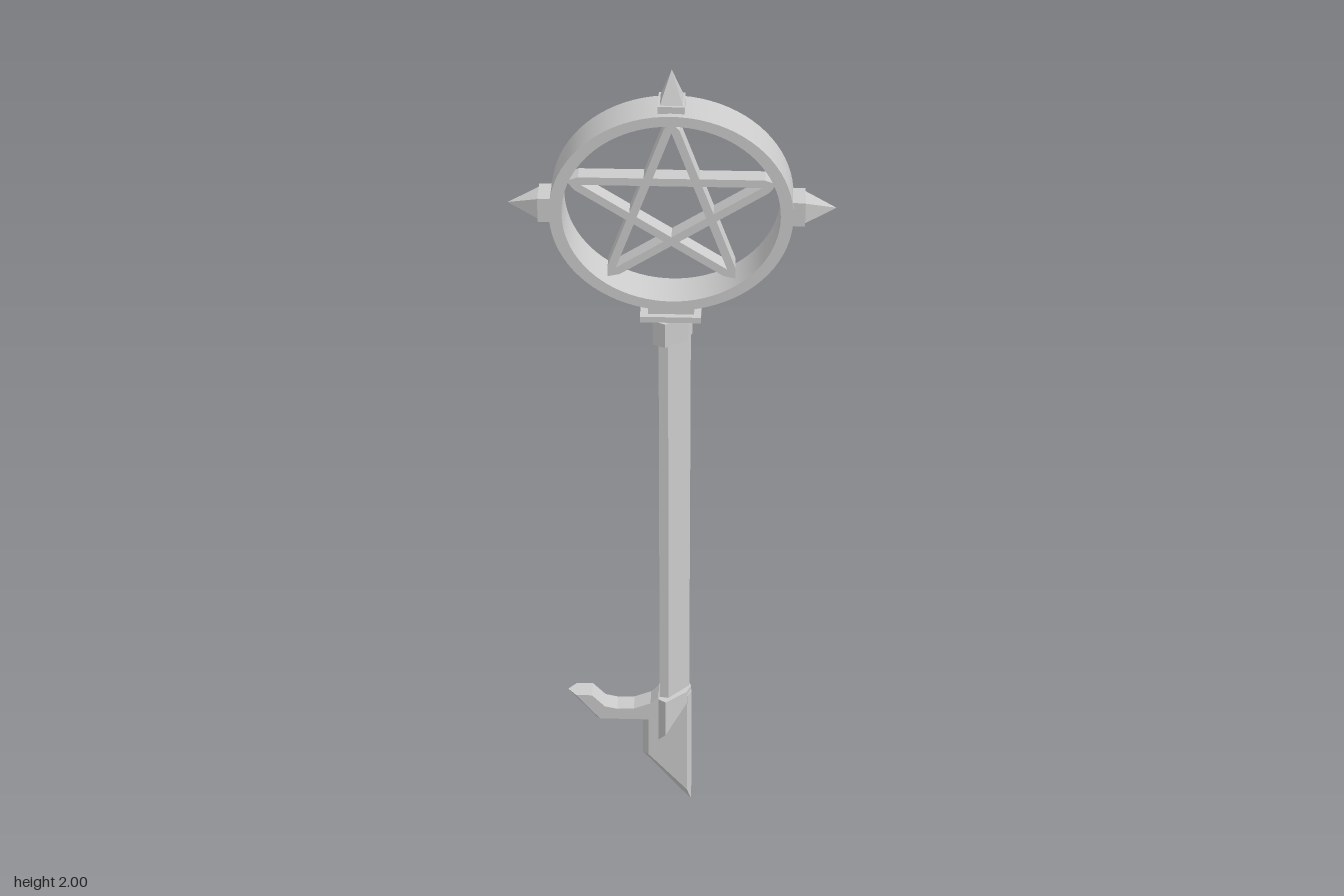
import * as THREE from 'three';
import { toCreasedNormals } from 'three/addons/utils/BufferGeometryUtils.js';

const mat = new THREE.MeshStandardMaterial({ color: 0xcccccc });

function add(parent, name, geo, x = 0, y = 0, z = 0) {
  const m = new THREE.Mesh(geo, mat);
  m.name = name;
  m.position.set(x, y, z);
  parent.add(m);
  return m;
}

// Solid lofted through rings of equal point count (counter-clockwise seen from
// the last ring), capped at both ends, flat shaded.
function loft(rings) {
  const pos = [];
  const n = rings[0].length;
  const tri = (...p) => p.forEach((v) => pos.push(...v));
  for (let r = 0; r < rings.length - 1; r++) {
    for (let i = 0; i < n; i++) {
      const j = (i + 1) % n;
      const [a, b, c, d] = [rings[r][i], rings[r][j], rings[r + 1][j], rings[r + 1][i]];
      tri(a, b, c);
      tri(a, c, d);
    }
  }
  return { pos, tri, geo() {
    const g = new THREE.BufferGeometry();
    g.setAttribute('position', new THREE.Float32BufferAttribute(pos, 3));
    g.computeVertexNormals();
    return g;
  } };
}

// Upright prism from half a section [x, z], ridge first; bottom height depends on x
function prism(half, top, bottom) {
  const sec = [...half, ...half.slice(1).reverse().map(([x, z]) => [x, -z])].reverse();
  const low = sec.map(([x, z]) => [x, bottom(x), z]);
  const high = sec.map(([x, z]) => [x, top, z]);
  const s = loft([low, high]);
  for (let i = 1; i < sec.length - 1; i++) {
    s.tri(high[0], high[i], high[i + 1]);
    s.tri(low[0], low[i + 1], low[i]);
  }
  return s.geo();
}

// Blade: full outline on the middle plane, inset outline on both faces
function bevelled(points, halfZ) {
  const ring = (k, z) => points.map((p) => [p[k], p[k + 1], z]);
  const back = ring(2, -halfZ), front = ring(2, halfZ);
  const s = loft([back, ring(0, 0), front]);
  const flat = front.map((p) => new THREE.Vector2(p[0], p[1]));
  for (const [a, b, c] of THREE.ShapeUtils.triangulateShape(flat, [])) {
    s.tri(front[a], front[b], front[c]);
    s.tri(back[a], back[c], back[b]);
  }
  return s.geo();
}

function extrude(shape, depth, curveSegments = 16) {
  const g = new THREE.ExtrudeGeometry(shape, { depth, bevelEnabled: false, curveSegments });
  return g.translate(0, 0, -depth / 2);
}

export function createModel() {
  const model = new THREE.Group();
  model.name = 'staff';
  const cy = 1.68;

  // Oval ring
  const oval = new THREE.Shape().absellipse(0, 0, 0.259, 0.235, 0, Math.PI * 2);
  oval.holes.push(new THREE.Path().absellipse(0, 0, 0.232, 0.212, 0, Math.PI * 2));
  add(model, 'ring', toCreasedNormals(extrude(oval, 0.096, 40), 0.6), 0, cy, -0.002);

  // Five-pointed star of straight bars with pointed ends
  const star = new THREE.Group();
  star.name = 'star';
  model.add(star);
  const tip = (i) => {
    const a = Math.PI / 2 + (i * Math.PI * 2) / 5;
    return [0.234 * Math.cos(a), cy + 0.208 * Math.sin(a)];
  };
  for (let i = 0; i < 5; i++) {
    const [x0, y0] = tip(i), [x1, y1] = tip(i + 2);
    const h = Math.hypot(x1 - x0, y1 - y0) / 2, w = 0.009;
    const bar = new THREE.Shape([[-h, 0], [-h + 0.025, -w], [h - 0.025, -w], [h, 0], [h - 0.025, w], [-h + 0.025, w]]
      .map((p) => new THREE.Vector2(...p)));
    const m = add(star, 'starBar', extrude(bar, 0.04), (x0 + x1) / 2, (y0 + y1) / 2, -0.002);
    m.rotation.z = Math.atan2(y1 - y0, x1 - x0);
  }

  // Spikes on the top and both sides of the ring
  const spikes = [[0, 1.9, 0, 0.03], [-0.25, cy, Math.PI / 2, 0.034], [0.25, cy, -Math.PI / 2, 0.034]];
  for (const [x, y, turn, base] of spikes) {
    const spike = new THREE.Group();
    spike.name = 'spike';
    spike.position.set(x, y, -0.001);
    spike.rotation.z = turn;
    add(spike, 'spikeBase', new THREE.BoxGeometry(0.056, base, 0.066), 0, base / 2, 0);
    const point = new THREE.ConeGeometry(0.025 * Math.SQRT2, 0.1 - base, 4, 1).toNonIndexed();
    point.rotateY(Math.PI / 4).scale(0.95, 1, 1.08).computeVertexNormals();
    add(spike, 'spikePoint', point, 0, base + (0.1 - base) / 2, 0);
    model.add(spike);
  }

  // Seat and plate under the ring
  add(model, 'ringSeat', new THREE.BoxGeometry(0.1, 0.028, 0.09), 0, 1.445, -0.002);
  add(model, 'plate', new THREE.BoxGeometry(0.132, 0.014, 0.116), -0.001, 1.427, -0.002);

  // Shaft with its ridge on +x, upper collar and slanted lower socket
  add(model, 'shaft', prism([[0.042, 0], [-0.006, 0.049], [-0.027, 0.046]], 1.42, () => 0.3));
  add(model, 'collar', prism([[0.046, 0], [0.036, 0.028], [-0.012, 0.064], [-0.04, 0.05]], 1.42, () => 1.36));
  add(model, 'socket', prism([[0.046, 0], [0.036, 0.026], [-0.012, 0.067], [-0.03, 0.055]], 0.365,
    (x) => 0.24 + (x + 0.03) * 1.35));

  // Blade and hook: [outer x, outer y, face x, face y]
  const blade = bevelled([
    [0.048, 0.005, 0.038, 0.055],
    [0.048, 0.35, 0.038, 0.35],
    [-0.02, 0.357, -0.02, 0.357],
    [-0.05, 0.325, -0.05, 0.325],
    [-0.09, 0.308, -0.09, 0.308],
    [-0.13, 0.306, -0.13, 0.306],
    [-0.16, 0.313, -0.16, 0.313],
    [-0.19, 0.346, -0.19, 0.346],
    [-0.248, 0.346, -0.228, 0.346],
    [-0.18, 0.26, -0.172, 0.275],
    [-0.07, 0.26, -0.055, 0.275],
    [-0.07, 0.155, -0.055, 0.165],
  ], 0.023);
  add(model, 'blade', blade);

  return model;
}
